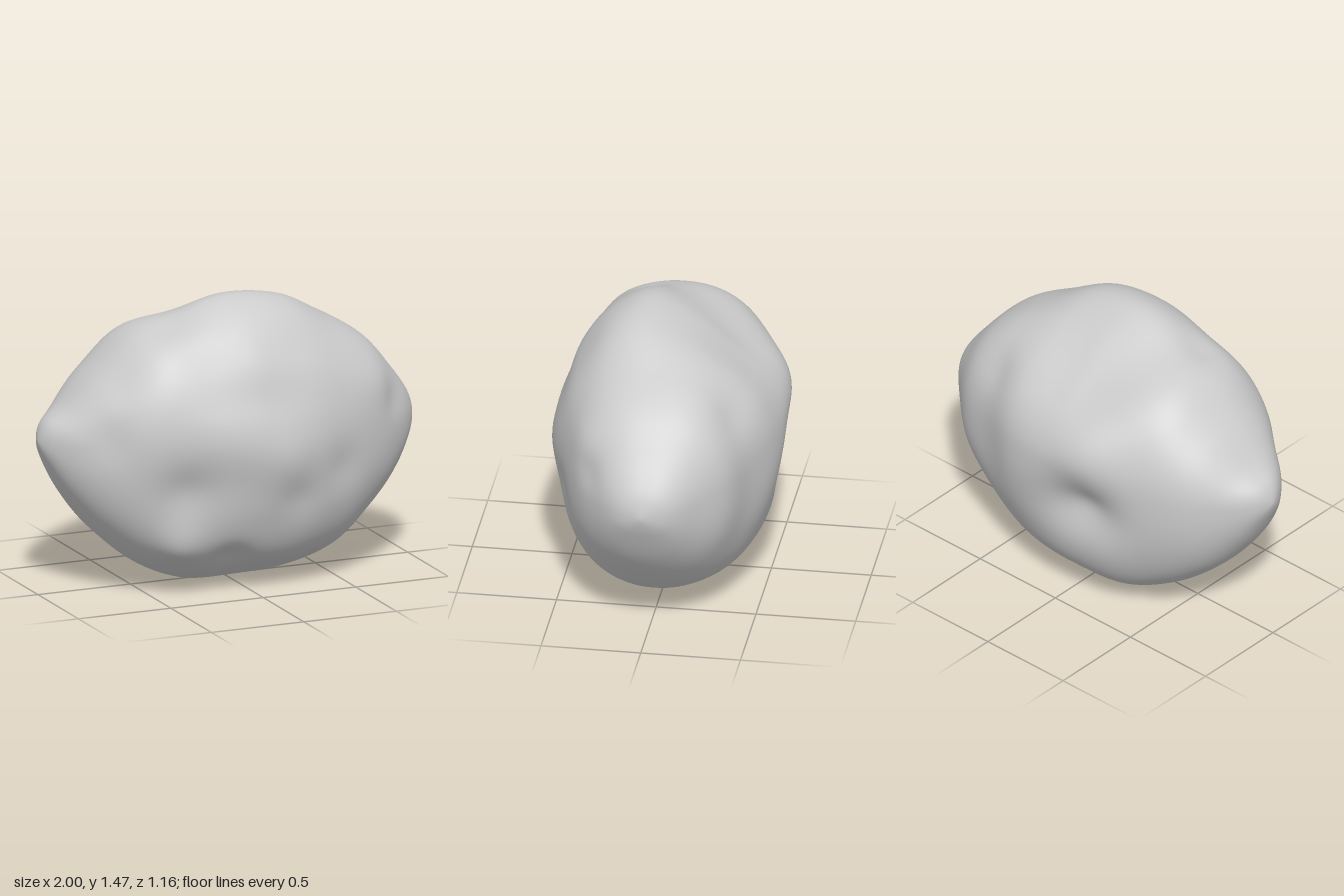
import * as THREE from 'three';
import { mergeVertices } from 'three/addons/utils/BufferGeometryUtils.js';

// Outline heights and depths at 13 stations, x = -cos(15 degrees * i)
const TOP = [0.79, 0.885, 0.97, 1.14, 1.32, 1.41, 1.475, 1.445, 1.32, 1.19, 1.01, 0.87, 0.75];
const BOTTOM = [0.79, 0.69, 0.51, 0.31, 0.135, 0.025, 0.01, 0.03, 0.115, 0.28, 0.46, 0.64, 0.75];
const BACK = [0, 0.1, 0.22, 0.355, 0.455, 0.565, 0.59, 0.555, 0.46, 0.385, 0.25, 0.13, 0];
const FRONT = [0, 0.09, 0.21, 0.35, 0.47, 0.54, 0.575, 0.55, 0.47, 0.37, 0.25, 0.13, 0];

// Widest cross-section as [z, y], from the front over the top to the back and under
const SECTION = [
  [0.59, 0.77], [0.575, 0.89], [0.53, 1.02], [0.455, 1.2], [0.3, 1.4], [0.12, 1.475], [-0.07, 1.415],
  [-0.3, 1.26], [-0.5, 1.09], [-0.575, 0.95], [-0.59, 0.8], [-0.565, 0.6], [-0.515, 0.4],
  [-0.41, 0.2], [-0.25, 0.08], [-0.06, 0.01], [0.1, 0.03], [0.25, 0.1], [0.4, 0.2],
  [0.51, 0.4], [0.565, 0.6],
];
// The section turns into an even, slightly squared oval toward the tips
const OVAL_POWER = 2.35;

// Craters (negative) and knobs (positive): [x, y, z, radius, height]
const RELIEF = [
  [-0.21, 0.63, -0.55, 0.2, -0.1],
  [-0.2, 0.98, -0.5, 0.16, 0.02],
  [-0.4, 0.54, 0.47, 0.18, -0.06],
  [-0.4, 0.27, 0.4, 0.11, 0.03],
  [-0.12, 0.17, 0.38, 0.1, -0.035],
  [0.12, 0.7, 0.56, 0.12, 0.01],
  [0.2, 0.48, 0.52, 0.12, -0.02],
  [0.45, 0.62, 0.47, 0.12, -0.015],
  [0.66, 1.0, 0.3, 0.12, 0.015],
  [0.78, 0.88, 0.26, 0.09, -0.015],
  [0.5, 1.1, -0.38, 0.12, -0.015],
  [-0.36, 1.33, 0.15, 0.11, -0.025],
  [-0.75, 0.85, 0.3, 0.12, -0.015],
];

// Smooth interpolation of a station table, t from 0 to 1
function sample(table, t) {
  const last = table.length - 1;
  const i = Math.min(Math.floor(t * last), last - 1);
  const f = t * last - i;
  const at = (k) => table[Math.max(0, Math.min(last, k))];
  const [a, b, c, d] = [at(i - 1), at(i), at(i + 1), at(i + 2)];
  return b + 0.5 * f * (c - a + f * (2 * a - 5 * b + 4 * c - d + f * (3 * (b - c) + d - a)));
}

function roughen(p) {
  const out = new THREE.Vector3(p.x * 0.5, p.y - 0.77, p.z).normalize();
  let h = 0;
  for (const [x, y, z, r, height] of RELIEF) {
    const d2 = (p.x - x) ** 2 + (p.y - y) ** 2 + (p.z - z) ** 2;
    h += height * Math.exp(-d2 / (r * r));
  }
  // Faint unevenness that fades out at the two tips
  const wave = Math.sin(9 * p.x + 4 * p.y) * Math.sin(8 * p.y - 5 * p.z) * Math.cos(7 * p.z + 3 * p.x);
  h += 0.007 * wave * (1 - p.x * p.x);
  return p.addScaledVector(out, h);
}

function rockGeometry(rings = 120, sides = 144) {
  const curve = new THREE.CatmullRomCurve3(
    SECTION.map(([z, y]) => new THREE.Vector3(0, y - 0.77, z)), true);
  // Unit section, with the factor that moves each point onto the oval
  const section = curve.getSpacedPoints(sides).map((p) => {
    const y = p.y / (p.y > 0 ? 0.705 : 0.76);
    const z = p.z / 0.59;
    const oval = (Math.abs(y) ** OVAL_POWER + Math.abs(z) ** OVAL_POWER) ** (-1 / OVAL_POWER);
    return { y, z, oval };
  });
  const positions = [];
  const index = [];
  for (let i = 0; i <= rings; i++) {
    const t = i / rings;
    const x = -Math.cos(Math.PI * t);
    const middle = 0.77 - 0.02 * x;
    const up = sample(TOP, t) - middle;
    const down = middle - sample(BOTTOM, t);
    const front = sample(FRONT, t);
    const back = sample(BACK, t);
    const blend = 0.9 * THREE.MathUtils.smoothstep(Math.abs(x), 0.05, 0.6);
    for (let j = 0; j < sides; j++) {
      const s = section[j];
      const k = THREE.MathUtils.lerp(1, s.oval, blend);
      const p = roughen(new THREE.Vector3(
        x, middle + k * s.y * (s.y > 0 ? up : down), k * s.z * (s.z > 0 ? front : back)));
      positions.push(p.x, p.y, p.z);
      if (i === rings) continue;
      const a = i * sides + j;
      const b = i * sides + (j + 1) % sides;
      // Rings collapse to a point at each tip
      if (i > 0) index.push(a, a + sides, b);
      if (i < rings - 1) index.push(b, a + sides, b + sides);
    }
  }
  const geometry = new THREE.BufferGeometry();
  geometry.setAttribute('position', new THREE.Float32BufferAttribute(positions, 3));
  geometry.setIndex(index);
  const welded = mergeVertices(geometry, 1e-5);
  welded.computeVertexNormals();
  // Rest the rock on the ground, centred
  welded.computeBoundingBox();
  const centre = welded.boundingBox.getCenter(new THREE.Vector3());
  welded.translate(-centre.x, -welded.boundingBox.min.y, -centre.z);
  return welded;
}

export function createModel() {
  const model = new THREE.Group();
  model.name = 'asteroid';
  const rock = new THREE.Mesh(rockGeometry(), new THREE.MeshStandardMaterial({ color: 0xcccccc }));
  rock.name = 'rockBody';
  model.add(rock);
  return model;
}
